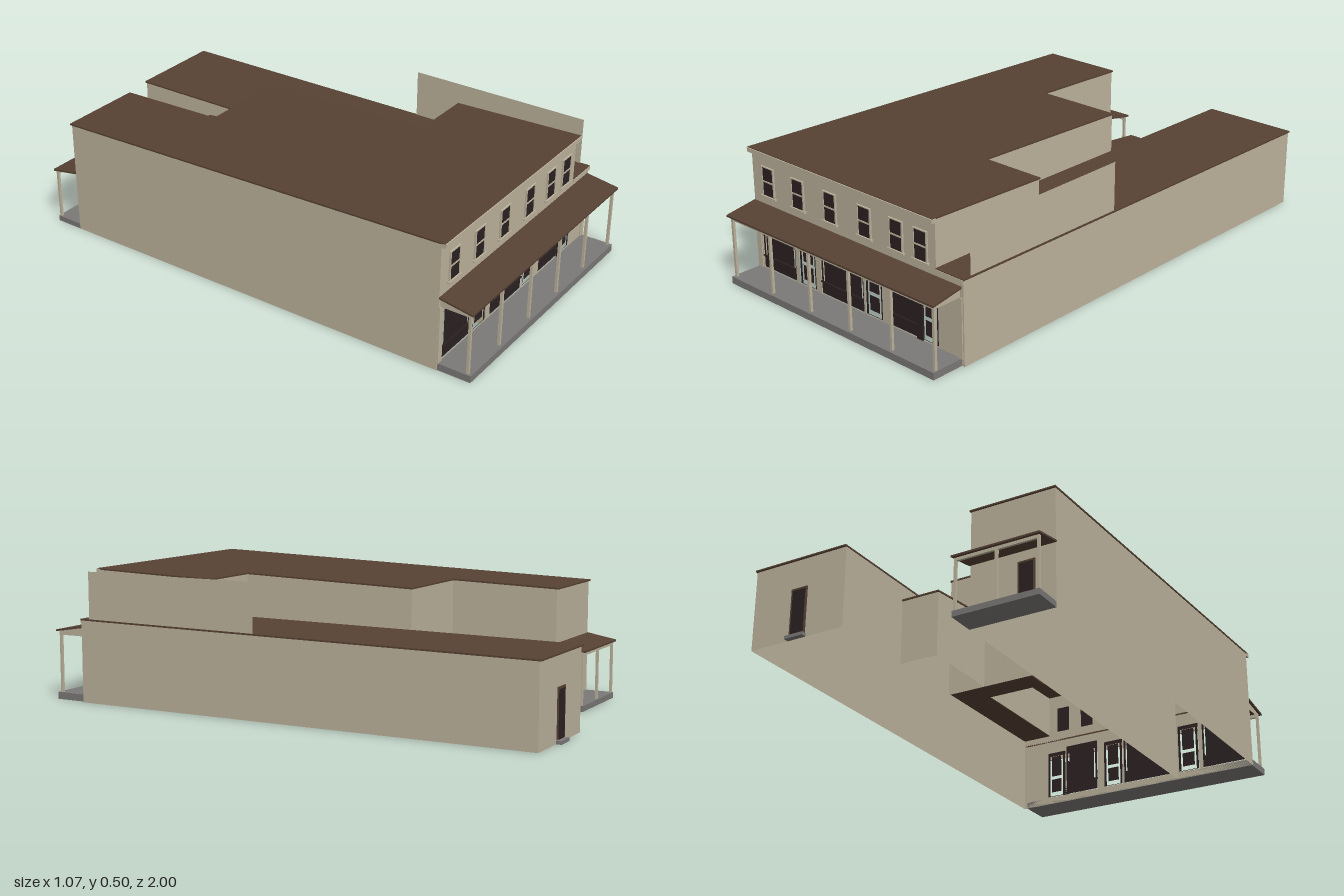
import * as THREE from 'three';

const mat = (name, color, side = THREE.DoubleSide) => {
  const m = new THREE.MeshStandardMaterial({ color, side });
  m.name = name;
  return m;
};

export function createModel() {
  const root = new THREE.Group();
  root.name = 'shopBuilding';
  const beige = mat('beige siding', 0xbdb39c);
  const brown = mat('brown roof', 0x574234);
  const dark = mat('dark glass', 0x2b2122);
  const grey = mat('grey boards', 0x7b7977);

  const add = (name, geo, m, parent = root) => {
    const mesh = new THREE.Mesh(geo, m);
    mesh.name = name;
    parent.add(mesh);
    return mesh;
  };
  const group = (name) => {
    const g = new THREE.Group();
    g.name = name;
    root.add(g);
    return g;
  };
  const box = (name, x0, x1, y0, y1, z0, z1, m, parent) => {
    const g = new THREE.BoxGeometry(x1 - x0, y1 - y0, z1 - z0);
    g.translate((x0 + x1) / 2, (y0 + y1) / 2, (z0 + z1) / 2);
    return add(name, g, m, parent);
  };
  // flat four-cornered sheet
  const quad = (name, a, b, c, d, m, parent) => {
    const g = new THREE.BufferGeometry();
    g.setAttribute('position', new THREE.Float32BufferAttribute([...a, ...b, ...c, ...d], 3));
    g.setIndex([0, 1, 2, 0, 2, 3]);
    g.computeVertexNormals();
    return add(name, g, m, parent);
  };
  // thin roof slab sloping from back (zb, yb) to front (zf, yf); y is the top
  const slab = (name, x0, x1, zb, yb, zf, yf, t = 0.006, parent = root) => {
    const g = new THREE.BoxGeometry(x1 - x0, t, zf - zb);
    g.translate((x0 + x1) / 2, -t / 2, (zb + zf) / 2);
    const p = g.attributes.position;
    for (let i = 0; i < p.count; i++) {
      const k = (p.getZ(i) - zb) / (zf - zb);
      p.setY(i, p.getY(i) + yb + (yf - yb) * k);
    }
    g.computeVertexNormals();
    return add(name, g, brown, parent);
  };
  const rectPath = (x0, x1, y0, y1, P = THREE.Path) => {
    const p = new P();
    p.moveTo(x0, y0).lineTo(x1, y0).lineTo(x1, y1).lineTo(x0, y1).closePath();
    return p;
  };

  // roof heights by depth
  const high = (z) => 0.497 - 0.0287 * (0.87 - z);
  const low = (z) => 0.317 - 0.0068 * (0.87 - z);
  const ground = () => 0;

  // outer and dividing walls: x0, z0, x1, z1, bottom rule, top rule
  const shed = (z) => 0.245 + 0.1 * (z + 0.64);
  const walls = group('walls');
  [
    ['leftWall', -0.53, -0.75, -0.53, 0.87, ground, high],
    ['longWingBack', -0.53, -0.75, -0.2, -0.75, ground, high],
    ['dividingWall', -0.2, -0.75, -0.2, 0.87, ground, high],
    ['middleBack', -0.2, -0.33, 0.15, -0.33, ground, high],
    ['upperMiddleSide', 0.15, -0.33, 0.15, 0.37, low, high],
    ['upperFrontBack', 0.15, 0.37, 0.405, 0.37, low, high],
    ['upperFrontSide', 0.405, 0.37, 0.405, 0.87, low, high],
    ['lowWingInnerSide', 0.15, -0.98, 0.15, -0.33, ground, low],
    ['lowWingBack', 0.15, -0.98, 0.53, -0.98, ground, low],
    ['lowWingSide', 0.53, -0.98, 0.53, 0.87, ground, low],
    ['sideScreen', 0.528, 0.11, 0.528, 0.835, low, () => 0.5],
    ['shedSide', 0, -0.64, 0, -0.33, ground, shed],
    ['shedBack', 0, -0.64, 0.15, -0.64, ground, shed],
  ].forEach(([n, x0, z0, x1, z1, bot, top]) =>
    quad(n, [x0, bot(z0), z0], [x1, bot(z1), z1], [x1, top(z1), z1], [x0, top(z0), z0], beige, walls));

  // roofs
  const hi = (n, x0, x1, zb, zf) => slab(n, x0, x1, zb, high(zb) + 0.003, zf, high(zf) + 0.003);
  hi('longWingRoof', -0.533, -0.197, -0.757, 0.885);
  hi('middleRoof', -0.197, 0.153, -0.333, 0.885);
  hi('upperFrontRoof', 0.153, 0.408, 0.367, 0.885);
  const lo = (n, x0, x1, zb, zf) => slab(n, x0, x1, zb, low(zb) + 0.003, zf, low(zf) + 0.003);
  lo('lowWingRoof', 0.148, 0.532, -0.987, 0.37);
  lo('lowWingFrontRoof', 0.405, 0.532, 0.37, 0.873);
  slab('shedRoof', -0.003, 0.15, -0.645, shed(-0.645) + 0.004, -0.33, shed(-0.33) + 0.004);

  // front wall with shop openings
  const zF = 0.87;
  const shops = [[-0.5, -0.317], [-0.18, 0.044], [0.172, 0.32]];
  const doors = [[-0.297, -0.208], [0.053, 0.138], [0.328, 0.41]];
  const facade = new THREE.Shape();
  facade.moveTo(-0.53, 0).lineTo(0.53, 0).lineTo(0.53, 0.317).lineTo(0.405, 0.317)
    .lineTo(0.405, 0.49).lineTo(-0.53, 0.49).closePath();
  shops.forEach(([a, b]) => facade.holes.push(rectPath(a, b, 0.03, 0.247)));
  doors.forEach(([a, b]) => facade.holes.push(rectPath(a, b, 0.03, 0.23)));
  add('frontWall', new THREE.ShapeGeometry(facade).translate(0, 0, zF), beige);

  // shop windows: dark surround, narrow open joint, dark glass
  const panel = (name, shape, parent) =>
    add(name, new THREE.ShapeGeometry(shape).translate(0, 0, zF - 0.004), dark, parent);
  const shopFronts = group('shopFronts');
  shops.forEach(([a, b]) => {
    const s = rectPath(a, b, 0.03, 0.247, THREE.Shape);
    s.holes.push(rectPath(a + 0.009, b - 0.008, 0.08, 0.239));
    panel('shopSurround', s, shopFronts);
    panel('shopGlass', rectPath(a + 0.015, b - 0.014, 0.08, 0.233, THREE.Shape), shopFronts);
    box('stallRail', a, b, 0.076, 0.08, zF - 0.003, zF + 0.003, dark, shopFronts);
  });

  // doors: dark surround with open frame around glass and lower panel
  doors.forEach(([a, b]) => {
    const s = rectPath(a, b, 0.03, 0.23, THREE.Shape);
    s.holes.push(rectPath(a + 0.01, b - 0.01, 0.032, 0.22));
    panel('doorSurround', s, shopFronts);
    panel('doorGlass', rectPath(a + 0.018, b - 0.018, 0.122, 0.212, THREE.Shape), shopFronts);
    panel('doorPanel', rectPath(a + 0.018, b - 0.018, 0.05, 0.108, THREE.Shape), shopFronts);
  });
  box('darkShutter', 0.312, 0.34, 0.03, 0.18, zF, zF + 0.006, dark, shopFronts);

  // upper windows
  [-0.444, -0.282, -0.112, 0.064, 0.22, 0.336].forEach((x) => {
    const w = group('upperWindow');
    box('glass', x - 0.028, x + 0.028, 0.327, 0.435, zF - 0.003, zF + 0.003, dark, w);
    for (const s of [-1, 1]) {
      box('jamb', x + s * 0.031 - 0.003, x + s * 0.031 + 0.003, 0.325, 0.437, zF, zF + 0.006, beige, w);
    }
    box('head', x - 0.034, x + 0.034, 0.435, 0.439, zF, zF + 0.006, beige, w);
    box('meetingRail', x - 0.028, x + 0.028, 0.378, 0.384, zF, zF + 0.005, beige, w);
    box('sill', x - 0.04, x + 0.04, 0.32, 0.327, zF, zF + 0.009, beige, w);
  });

  // cornice and trims
  box('cornice', -0.533, 0.409, 0.482, 0.498, zF, 0.889, beige);
  box('lowWingCap', 0.405, 0.531, 0.303, 0.317, zF, zF + 0.005, beige);
  for (const x of [-0.517, 0.512]) box('cornerTrim', x - 0.012, x + 0.012, 0.025, 0.25, zF, zF + 0.004, beige);

  // front porch
  const porch = group('frontPorch');
  box('porchFloor', -0.527, 0.517, 0, 0.027, zF, 1, grey, porch);
  slab('porchRoof', -0.532, 0.522, zF, 0.291, 1, 0.27, 0.007, porch);
  box('porchBeam', -0.522, 0.514, 0.25, 0.264, 0.979, 0.989, beige, porch);
  for (const x of [-0.517, -0.311, -0.105, 0.1, 0.306, 0.509]) {
    box('porchPost', x - 0.005, x + 0.005, 0.027, 0.25, 0.979, 0.989, beige, porch);
  }
  for (const x of [-0.522, 0.514]) {
    quad('porchEnd', [x, 0.25, zF], [x, 0.25, 0.989], [x, 0.265, 0.989], [x, 0.285, zF], beige, porch);
  }

  // back porch on the tall wing
  const back = group('backPorch');
  box('porchFloor', -0.53, -0.2, 0, 0.022, -0.86, -0.75, grey, back);
  slab('porchRoof', -0.533, -0.195, -0.865, 0.227, -0.75, 0.247, 0.007, back);
  box('porchBeam', -0.528, -0.202, 0.207, 0.219, -0.856, -0.847, beige, back);
  for (const x of [-0.523, -0.365, -0.207]) {
    box('porchPost', x - 0.005, x + 0.005, 0.022, 0.207, -0.856, -0.847, beige, back);
  }

  // back doors
  const backDoor = (x, z, y0) => {
    const d = group('backDoor');
    box('doorFrame', x - 0.033, x + 0.033, y0, y0 + 0.178, z - 0.004, z + 0.003, brown, d);
    box('doorLeaf', x - 0.026, x + 0.026, y0, y0 + 0.17, z - 0.006, z + 0.004, dark, d);
  };
  backDoor(0.337, -0.98, 0.014);
  backDoor(-0.42, -0.75, 0.024);
  box('backStep', 0.3, 0.375, 0, 0.012, -1, -0.98, grey);

  return root;
}
